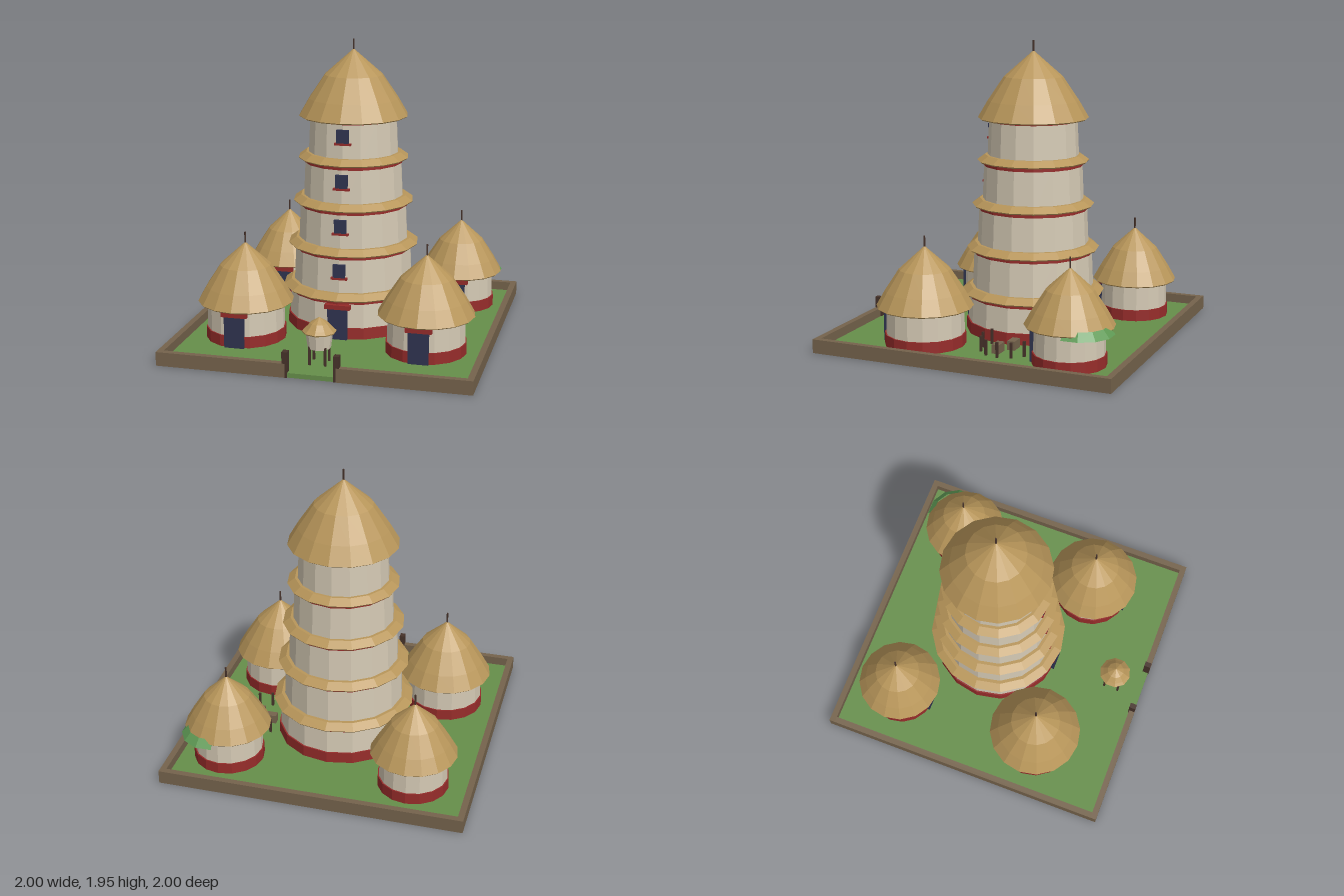
import * as THREE from 'three';

const paint = (name, color, side = THREE.FrontSide) =>
  Object.assign(new THREE.MeshStandardMaterial({ color, flatShading: true, side }), { name });

const GROUND = 0.03; // top of the lawn

export function createModel() {
  const thatch = paint('thatch', 0xb8965a);
  const plaster = paint('plaster', 0xd4c9b4);
  const red = paint('red trim', 0x962c2a);
  const navy = paint('dark opening', 0x303450);
  const earth = paint('earth wall', 0x75634c);
  const wood = paint('dark wood', 0x46322a);
  const grass = paint('grass', 0x668f4a);
  const leaf = paint('leaf green', 0x5f9a55, THREE.DoubleSide);

  const model = new THREE.Group();
  model.name = 'walledCompound';

  const add = (parent, name, geometry, material, x = 0, y = 0, z = 0) => {
    const mesh = new THREE.Mesh(geometry, material);
    mesh.name = name;
    mesh.position.set(x, y, z);
    parent.add(mesh);
    return mesh;
  };
  // Box given by its bottom height
  const box = (parent, name, mat, w, h, d, x, y, z) =>
    add(parent, name, new THREE.BoxGeometry(w, h, d), mat, x, y + h / 2, z);
  // Tapered drum between two heights
  const drum = (parent, name, mat, r0, r1, y0, y1, sides = 16) =>
    add(parent, name, new THREE.CylinderGeometry(r1, r0, y1 - y0, sides), mat, 0, (y0 + y1) / 2, 0);
  const lathe = (parent, name, mat, pts, sides = 16) =>
    add(parent, name, new THREE.LatheGeometry(pts.map(p => new THREE.Vector2(...p)), sides), mat);
  // Domed thatch cone with a closed underside
  const roof = (parent, r, y, h, sides = 16) =>
    lathe(parent, 'thatchRoof', thatch, [
      [0, y], [r * 0.97, y], [r, y + 0.008], [r * 0.82, y + h * 0.27],
      [r * 0.53, y + h * 0.62], [0, y + h],
    ], sides);
  const spire = (parent, y) => drum(parent, 'roofPole', wood, 0.006, 0.006, y - 0.02, y + 0.065, 6);
  const group = (name, x, z) => {
    const g = new THREE.Group();
    g.name = name;
    g.position.set(x, 0, z);
    model.add(g);
    return g;
  };
  // Doorway with a red lintel, on the +z side
  const door = (parent, z) => {
    box(parent, 'door', navy, 0.13, 0.205, 0.03, 0, GROUND, z);
    box(parent, 'doorLintel', red, 0.17, 0.03, 0.035, 0, 0.235, z);
  };

  // Lawn and boundary wall with a gap for the gate
  box(model, 'lawn', grass, 1.99, GROUND, 1.99, 0, 0.001, 0);
  box(model, 'backWall', earth, 2, 0.09, 0.04, 0, 0, -0.98);
  for (const s of [-1, 1]) {
    box(model, 'sideWall', earth, 0.04, 0.09, 1.92, s * 0.98, 0, 0);
    box(model, 'frontWall', earth, 0.84, 0.09, 0.04, s * 0.58, 0, 0.98);
    box(model, 'gatePost', wood, 0.035, 0.165, 0.045, s * 0.163, 0, 0.977);
  }

  // Five-storey tower: each storey has a wall, a top band and a thatch skirt
  const tower = group('tower', 0, -0.1);
  const levels = 5, rise = 0.29;
  drum(tower, 'baseBand', red, 0.443, 0.441, GROUND, 0.105);
  for (let i = 0; i < levels; i++) {
    const y0 = i === 0 ? GROUND : i * rise, y1 = (i + 1) * rise;
    const r0 = 0.435 - i * 0.0335, r1 = r0 - 0.013;
    drum(tower, 'storeyWall', plaster, r0, r1, y0, y1);
    drum(tower, 'storeyBand', red, r1 + 0.008, r1 + 0.008, y1 - 0.025, y1);
    if (i < levels - 1) {
      const eave = 0.472 - i * 0.035;
      lathe(tower, 'thatchSkirt', thatch, [
        [r1 - 0.05, y1], [eave - 0.006, y1], [eave, y1 + 0.008],
        [eave - 0.05, y1 + 0.044], [r1 - 0.05, y1 + 0.044],
      ]);
    }
    if (i > 0) {
      const z = r0 - 0.006;
      box(tower, 'window', navy, 0.08, 0.09, 0.02, 0, y0 + 0.145, z);
      box(tower, 'windowSill', red, 0.11, 0.014, 0.024, 0, y0 + 0.133, z);
    }
  }
  door(tower, 0.435);
  roof(tower, 0.362, 1.437, 0.443);
  spire(tower, 1.88);

  // Four round huts
  const huts = [
    [-0.6, 0.4, 0.255, 0.313, 0.395], [0.6, 0.4, 0.255, 0.313, 0.395],
    [-0.6, -0.61, 0.225, 0.283, 0.363], [0.65, -0.61, 0.225, 0.283, 0.363],
  ];
  for (const [x, z, r, eave, h] of huts) {
    const hut = group('hut', x, z);
    drum(hut, 'hutWall', plaster, r, r - 0.005, GROUND, 0.28);
    drum(hut, 'hutBaseBand', red, r + 0.008, r + 0.007, GROUND, 0.105);
    door(hut, r - 0.003);
    roof(hut, eave, 0.273, h);
    spire(hut, 0.273 + h);
  }

  // Small granary on four legs
  const granary = group('granary', 0, 0.78);
  for (const x of [-0.05, 0.05])
    for (const z of [-0.05, 0.05])
      box(granary, 'granaryLeg', wood, 0.014, 0.12, 0.014, x, GROUND, z);
  drum(granary, 'granaryBin', plaster, 0.073, 0.087, 0.135, 0.24, 10);
  roof(granary, 0.108, 0.235, 0.097, 10);

  // Ring of stakes around two low benches, open towards the tower
  for (let i = -4; i <= 4; i++) {
    const a = i * Math.PI / 6;
    box(model, 'stake', wood, 0.015, 0.1, 0.015,
      0.55 + 0.171 * Math.cos(a), GROUND, -0.155 + 0.171 * Math.sin(a));
  }
  box(model, 'bench', earth, 0.09, 0.06, 0.05, 0.505, GROUND, -0.175);
  box(model, 'bench', earth, 0.09, 0.06, 0.05, 0.61, GROUND, -0.115);

  // Curved green canopy strip beside the back hut
  add(model, 'leafCanopy', new THREE.CylinderGeometry(0.165, 0.21, 0.05, 4, 1, true,
    75 * Math.PI / 180, 120 * Math.PI / 180), leaf, 0.717, 0.28, -0.706);

  return model;
}
